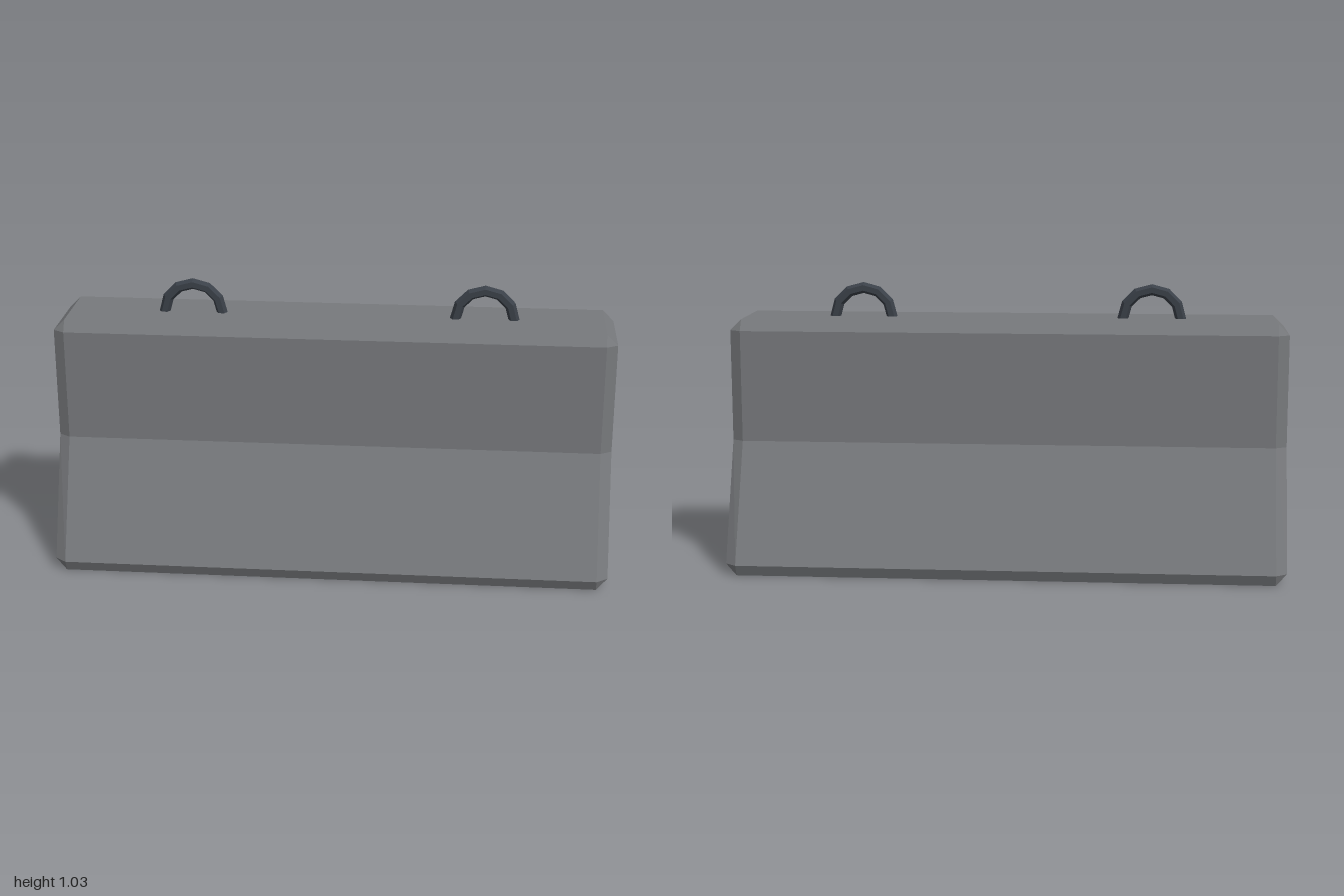
import * as THREE from 'three';

const concrete = new THREE.MeshStandardMaterial({ color: 0x77797c });
concrete.name = 'concrete';
concrete.flatShading = true;
const steel = new THREE.MeshStandardMaterial({ color: 0x3a4048 });
steel.name = 'dark steel';
steel.flatShading = true;

// Half profiles as [z, y], from the top down
const OUTER = [[0.135, 0.903], [0.16, 0.863], [0.16, 0.462], [0.334, 0.04], [0.315, 0]];
const END = [[0.135, 0.863], [0.135, 0.863], [0.135, 0.462], [0.303, 0.04], [0.303, 0.04]];

// Closed cross-section at x: down the front, up the back
function section(x, half) {
  const front = half.map(([z, y]) => new THREE.Vector3(x, y, z));
  const back = half.map(([z, y]) => new THREE.Vector3(x, y, -z)).reverse();
  return [...front, ...back];
}

function barrierGeometry() {
  const positions = [];
  const tri = (a, b, c) => {
    const area = b.clone().sub(a).cross(c.clone().sub(a)).length();
    if (area > 1e-7) for (const p of [a, b, c]) positions.push(p.x, p.y, p.z);
  };
  const quad = (a, b, c, d) => { tri(a, b, c); tri(a, c, d); };

  const rings = [section(-1, END), section(-0.96, OUTER), section(0.96, OUTER), section(1, END)];
  const n = rings[0].length;

  // Long sides and chamfered ends
  for (let s = 0; s < rings.length - 1; s++) {
    const a = rings[s], b = rings[s + 1];
    for (let i = 0; i < n; i++) {
      const j = (i + 1) % n;
      quad(a[i], a[j], b[j], b[i]);
    }
  }
  // End faces, as strips between front and back
  const left = rings[3], right = rings[0];
  for (let i = 0; i < END.length - 1; i++) {
    const k = n - 1 - i;
    quad(left[i], left[i + 1], left[k - 1], left[k]);
    quad(right[k], right[k - 1], right[i + 1], right[i]);
  }

  const geometry = new THREE.BufferGeometry();
  geometry.setAttribute('position', new THREE.Float32BufferAttribute(positions, 3));
  geometry.computeVertexNormals();
  return geometry;
}

export function createModel() {
  const group = new THREE.Group();
  group.name = 'roadBarrier';

  const body = new THREE.Mesh(barrierGeometry(), concrete);
  body.name = 'barrierBody';
  group.add(body);

  // Lifting loops on the top face
  const loop = new THREE.TorusGeometry(0.104, 0.02, 6, 6, Math.PI);
  for (const [name, x] of [['rightLiftingLoop', -0.515], ['leftLiftingLoop', 0.534]]) {
    const mesh = new THREE.Mesh(loop, steel);
    mesh.name = name;
    mesh.position.set(x, 0.903, 0);
    group.add(mesh);
  }
  return group;
}
